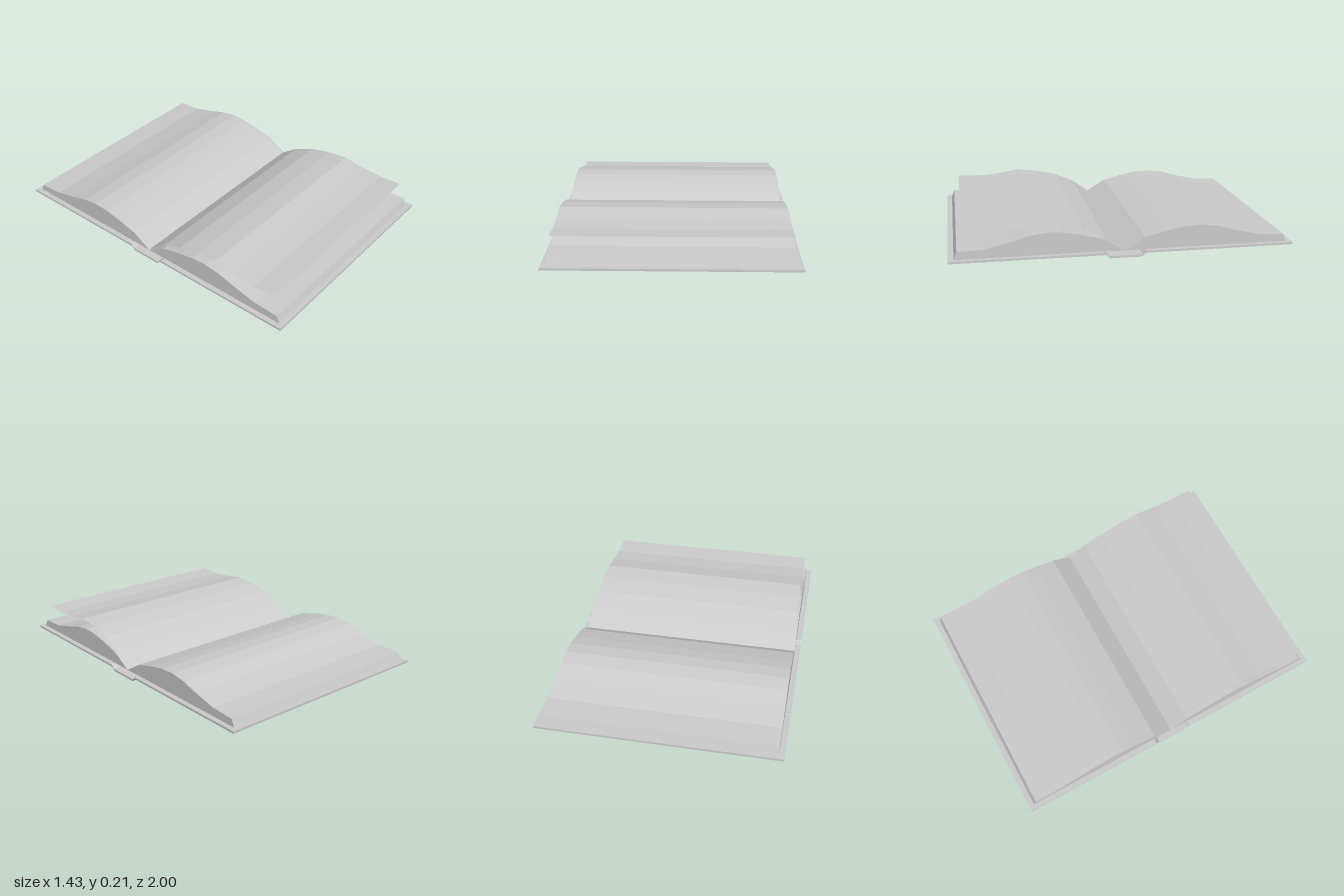
import * as THREE from 'three';

const material = new THREE.MeshStandardMaterial({ color: 0xcccccc, flatShading: true });
const sheetMaterial = new THREE.MeshStandardMaterial({ color: 0xcccccc, flatShading: true, side: THREE.DoubleSide });

// Sweep a closed [z, y] profile along x, centred on x = 0
function extrudeAlongX(name, profile, width) {
  const shape = new THREE.Shape(profile.map(([z, y]) => new THREE.Vector2(z, y)));
  const geometry = new THREE.ExtrudeGeometry(shape, { depth: width, bevelEnabled: false });
  geometry.translate(0, 0, -width / 2).rotateY(-Math.PI / 2);
  const mesh = new THREE.Mesh(geometry, material);
  mesh.name = name;
  return mesh;
}

// Thin open sheet following a [z, y] curve
function sheetAlongX(name, curve, width) {
  const geometry = new THREE.PlaneGeometry(width, 1, 1, curve.length - 1);
  const position = geometry.attributes.position;
  for (let i = 0; i < position.count; i++) {
    const [z, y] = curve[Math.floor(i / 2)];
    position.setY(i, y);
    position.setZ(i, z);
  }
  geometry.computeVertexNormals();
  const mesh = new THREE.Mesh(geometry, sheetMaterial);
  mesh.name = name;
  return mesh;
}

export function createModel() {
  const book = new THREE.Group();
  book.name = 'openBook';

  // Cover: two boards joined by a lowered spine
  const top = [[1, 0.034], [0.122, 0.034], [0.098, 0.013]];
  const bottom = [[0.092, 0], [0.116, 0.021], [1, 0.021]];
  const flip = (points) => points.map(([z, y]) => [-z, y]).reverse();
  book.add(extrudeAlongX('cover', [...top, ...flip(top), ...flip(bottom), ...bottom], 1.432));

  // Two mirrored page blocks, arched towards the gutter
  const block = [
    [0, 0.032], [0.12, 0.105], [0.255, 0.14], [0.35, 0.158], [0.445, 0.163], [0.545, 0.15],
    [0.65, 0.12], [0.8, 0.085], [0.95, 0.078], [0.968, 0.034], [0.12, 0.034],
  ];
  book.add(extrudeAlongX('frontPages', block, 1.37));
  book.add(extrudeAlongX('backPages', flip(block), 1.37));

  // Single page lifting off the front block
  const page = [
    [0, 0.035], [0.11, 0.115], [0.24, 0.17], [0.375, 0.2],
    [0.505, 0.213], [0.64, 0.191], [0.775, 0.18], [0.915, 0.187],
  ];
  book.add(sheetAlongX('turningPage', page, 1.34));

  return book;
}
